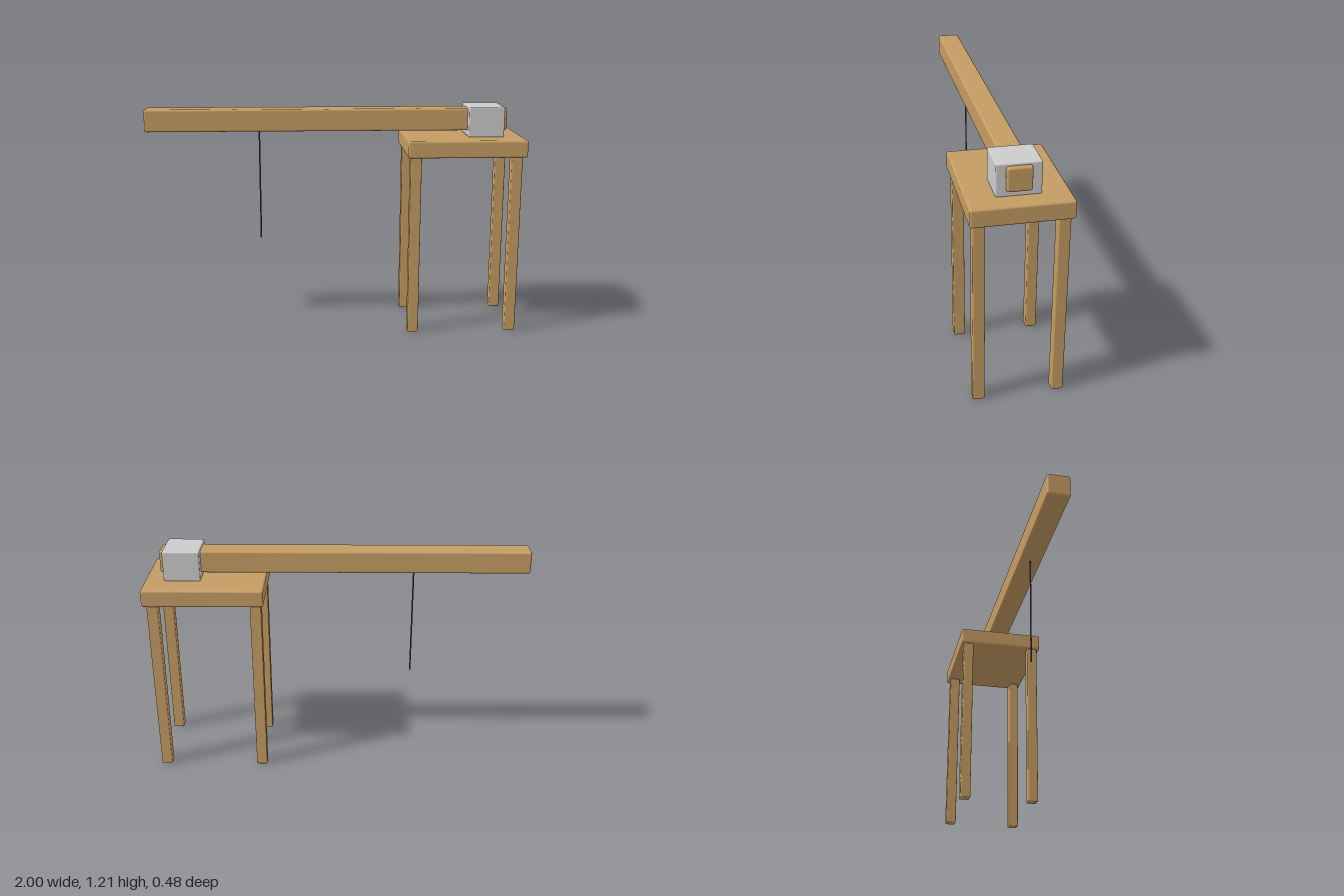
import * as THREE from 'three';
import { RoundedBoxGeometry } from 'three/addons/geometries/RoundedBoxGeometry.js';

const wood = new THREE.MeshStandardMaterial({ color: 0xc49c62 });
const grey = new THREE.MeshStandardMaterial({ color: 0xcccccc });
const dark = new THREE.MeshStandardMaterial({ color: 0x4a4a54 });

export function createModel() {
  const model = new THREE.Group();
  model.name = 'clampedBeamOnTable';

  // Soft-edged block given by its extents in x and y and its width in z
  const block = (name, [x0, x1], [y0, y1], width, z, radius, material) => {
    const geometry = new RoundedBoxGeometry(x1 - x0, y1 - y0, width, 2, radius);
    const mesh = new THREE.Mesh(geometry, material);
    mesh.name = name;
    mesh.position.set((x0 + x1) / 2, (y0 + y1) / 2, z);
    model.add(mesh);
  };

  // Table: top and four square legs
  block('tableTop', [0.377, 1], [0.957, 1.047], 0.478, 0, 0.011, wood);
  for (const x of [0.419, 0.948]) {
    for (const z of [-0.194, 0.194]) {
      block('tableLeg', [x - 0.029, x + 0.029], [0, 0.959], 0.058, z, 0.007, wood);
    }
  }

  // Long beam held by a clamp block on the table
  block('beam', [-1, 0.923], [1.075, 1.193], 0.118, 0, 0.011, wood);
  block('clamp', [0.71, 0.9], [1.045, 1.205], 0.212, 0, 0.007, grey);

  // Thin cord hanging below the beam
  const cord = new THREE.Mesh(new THREE.CylinderGeometry(0.004, 0.004, 0.6, 12), dark);
  cord.name = 'hangingCord';
  cord.position.set(-0.398, 0.782, 0);
  model.add(cord);

  return model;
}
